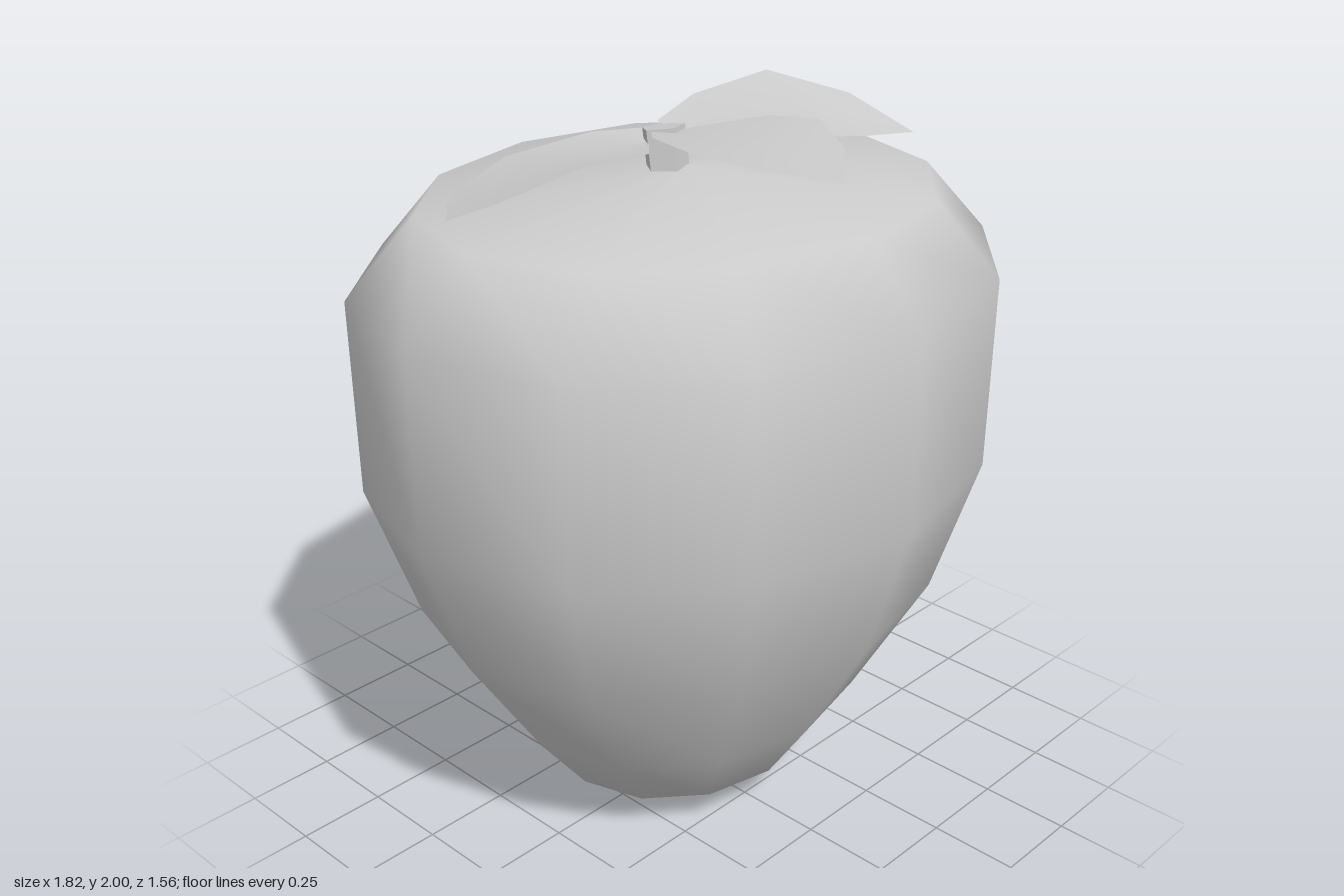
import * as THREE from 'three';

const material = new THREE.MeshStandardMaterial({ color: 0xcccccc });
const leafMaterial = new THREE.MeshStandardMaterial({ color: 0xcccccc, side: THREE.DoubleSide });

// Leaf skinned over rows of [edge, midrib, edge] points, closed by a tip
function makeLeaf(name, rows, tip) {
  const positions = [...rows.flat(2), ...tip];
  const index = [];
  const tipIndex = rows.length * 3;
  rows.forEach((_, r) => {
    for (let c = 0; c < 2; c++) {
      const a = r * 3 + c;
      if (r < rows.length - 1) index.push(a, a + 3, a + 1, a + 1, a + 3, a + 4);
      else index.push(a, tipIndex, a + 1);
    }
  });
  const geometry = new THREE.BufferGeometry();
  geometry.setAttribute('position', new THREE.Float32BufferAttribute(positions, 3));
  geometry.setIndex(index);
  geometry.computeVertexNormals();
  const leaf = new THREE.Mesh(geometry, leafMaterial);
  leaf.name = name;
  return leaf;
}

export function createModel() {
  const group = new THREE.Group();
  group.name = 'fruit';

  // Twelve-sided body, wide at the shoulders and flattened front to back
  const profile = [
    [0, 0], [0.19, 0.04], [0.395, 0.12], [0.55, 0.32], [0.772, 0.66],
    [0.905, 1.04], [0.91, 1.56], [0.72, 1.76], [0, 1.82],
  ].map(([x, y]) => new THREE.Vector2(x, y));
  const bodyGeometry = new THREE.LatheGeometry(profile, 12);
  bodyGeometry.scale(1, 1, 0.857);
  const body = new THREE.Mesh(bodyGeometry, material);
  body.name = 'body';
  group.add(body);

  // Five-sided stem leaning slightly backwards
  const stemGeometry = new THREE.CylinderGeometry(0.058, 0.058, 0.13, 5).toNonIndexed();
  stemGeometry.rotateY(-Math.PI / 2);
  stemGeometry.rotateX(-0.15);
  stemGeometry.computeVertexNormals();
  const stem = new THREE.Mesh(stemGeometry, material);
  stem.position.set(-0.028, 1.85, -0.033);
  stem.name = 'stem';
  group.add(stem);

  // Drooping leaf whose tip sinks into the body
  group.add(makeLeaf('rightLeaf', [
    [[0, 1.9, -0.09], [-0.04, 1.88, -0.065], [-0.08, 1.88, -0.04]],
    [[-0.1, 1.88, -0.23], [-0.14, 1.875, -0.09], [-0.17, 1.89, 0.05]],
    [[-0.29, 1.832, -0.345], [-0.345, 1.86, -0.14], [-0.4, 1.905, 0.06]],
    [[-0.45, 1.79, -0.33], [-0.5, 1.8, -0.21], [-0.55, 1.82, -0.08]],
  ], [-0.63, 1.74, -0.26]));

  // Cupped leaf pointing forwards
  group.add(makeLeaf('frontLeaf', [
    [[-0.07, 1.91, -0.04], [-0.025, 1.905, -0.01], [0.02, 1.915, 0.02]],
    [[-0.19, 1.94, 0.08], [-0.035, 1.92, 0.13], [0.12, 1.955, 0.18]],
    [[-0.27, 1.955, 0.3], [-0.06, 1.93, 0.31], [0.145, 1.968, 0.32]],
    [[-0.22, 1.94, 0.46], [-0.09, 1.925, 0.475], [0.04, 1.945, 0.49]],
  ], [-0.115, 1.92, 0.61]));

  // Raised leaf with its outer edge highest
  group.add(makeLeaf('leftLeaf', [
    [[-0.01, 1.905, 0], [0, 1.905, -0.045], [0, 1.915, -0.09]],
    [[0.03, 1.905, 0.2], [0.09, 1.92, 0.05], [0.15, 1.955, -0.105]],
    [[0.14, 1.925, 0.33], [0.24, 1.945, 0.155], [0.34, 2, -0.02]],
    [[0.26, 1.91, 0.37], [0.35, 1.925, 0.275], [0.44, 1.955, 0.18]],
  ], [0.47, 1.88, 0.37]));

  return group;
}
